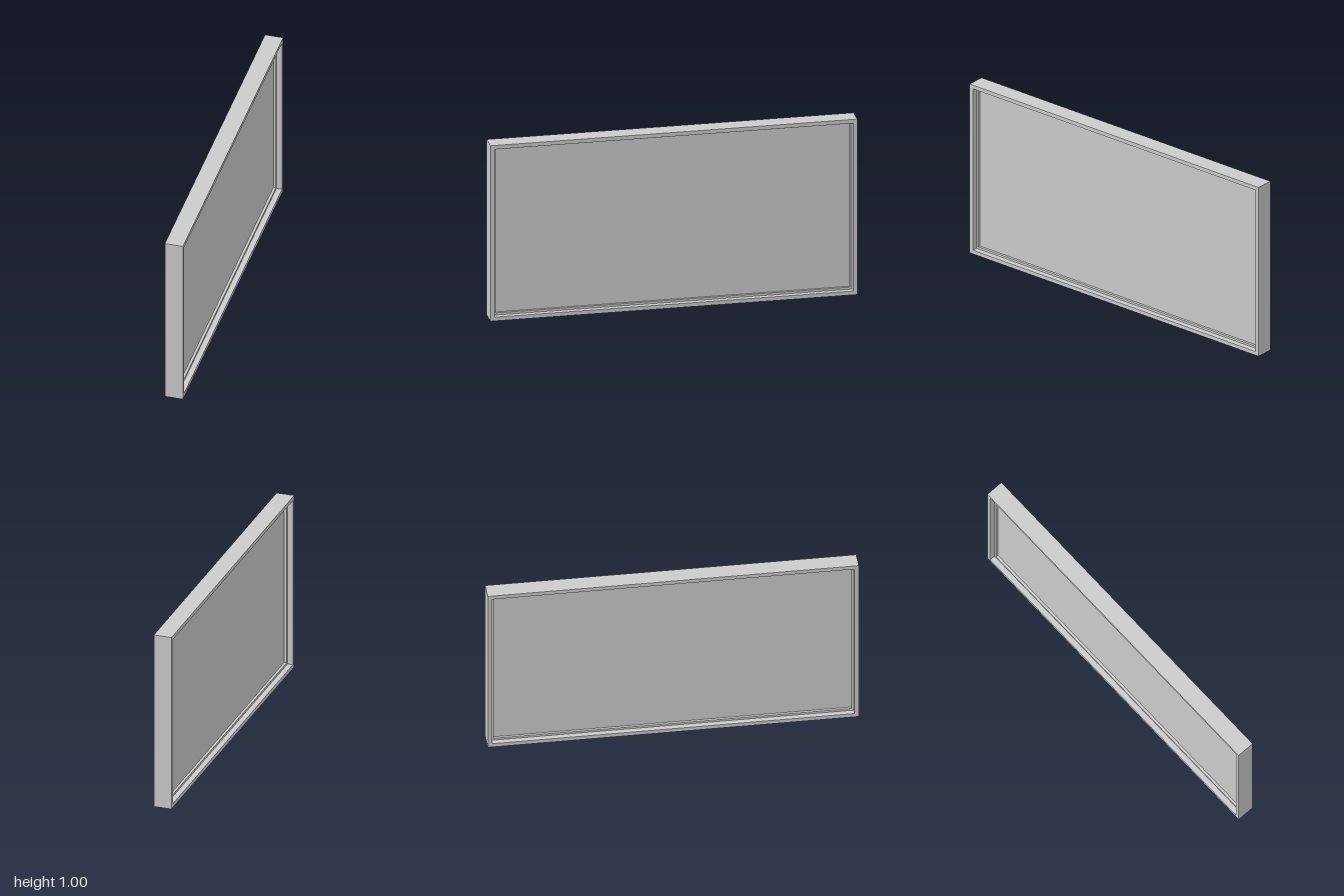
import * as THREE from 'three';

const HEIGHT = 1, LENGTH = 2;
const material = new THREE.MeshStandardMaterial({ color: 0xcccccc, flatShading: true });

// Rectangle centred on the panel, inset evenly from its outer edge
function rectangle(Type, inset) {
  const w = LENGTH / 2 - inset, h = HEIGHT / 2 - inset;
  return new Type([
    new THREE.Vector2(-w, -h), new THREE.Vector2(w, -h),
    new THREE.Vector2(w, h), new THREE.Vector2(-w, h),
  ]);
}

// Rectangular ring in the yz plane, centred on x = 0
function ring(name, outerInset, innerInset, depth) {
  const shape = rectangle(THREE.Shape, outerInset);
  shape.holes.push(rectangle(THREE.Path, innerInset));
  const geometry = new THREE.ExtrudeGeometry(shape, { depth, bevelEnabled: false });
  geometry.translate(0, 0, -depth / 2);
  geometry.rotateY(Math.PI / 2);
  const mesh = new THREE.Mesh(geometry, material);
  mesh.name = name;
  mesh.position.y = HEIGHT / 2;
  return mesh;
}

export function createModel() {
  const group = new THREE.Group();
  group.name = 'framedPanel';

  // Deep outer frame and the thinner stepped frame inside it
  const outerInset = 0.022, innerInset = 0.034;
  group.add(ring('outerFrame', 0, outerInset, 0.1));
  group.add(ring('innerFrame', outerInset, innerInset, 0.038));

  // Thin pane recessed equally from both sides
  const pane = new THREE.Mesh(
    new THREE.BoxGeometry(0.01, HEIGHT - 2 * innerInset, LENGTH - 2 * innerInset), material);
  pane.name = 'pane';
  pane.position.y = HEIGHT / 2;
  group.add(pane);

  return group;
}
